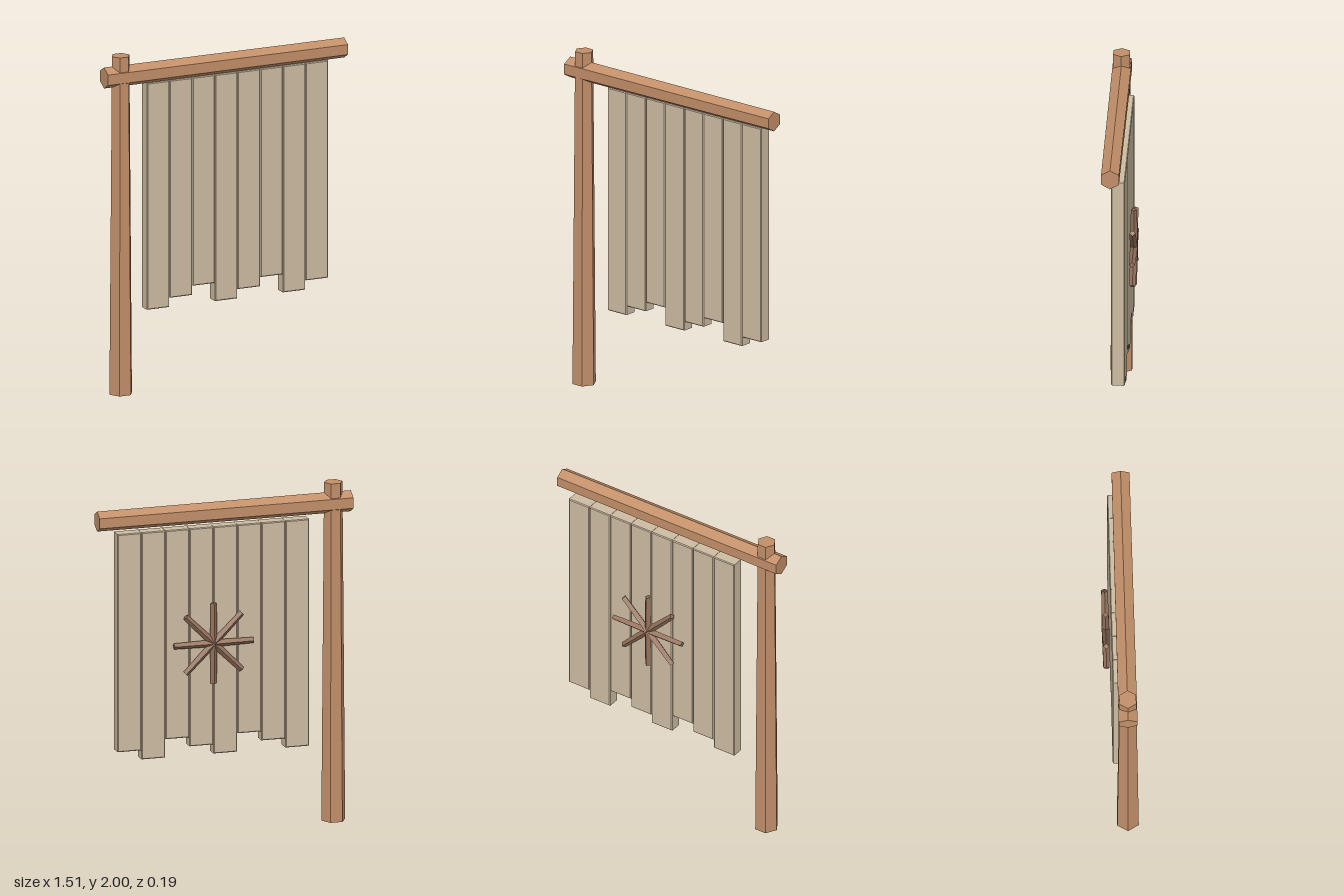
import * as THREE from 'three';

const mat = (name, color) => {
  const m = new THREE.MeshStandardMaterial({ color, flatShading: true });
  m.name = name;
  return m;
};

export function createModel() {
  const group = new THREE.Group();
  const wood = mat('warm wood', 0xc28f69);
  const cloth = mat('pale boards', 0xcdbca2);
  const dark = mat('dark wood', 0x96725c);

  const add = (name, geometry, material) => {
    const mesh = new THREE.Mesh(geometry, material);
    mesh.name = name;
    group.add(mesh);
    return mesh;
  };

  // Tapered six-sided post and the cross beam it carries
  const post = new THREE.CylinderGeometry(0.055, 0.071, 2, 6).rotateY(Math.PI / 2);
  add('post', post, wood).position.set(-0.655, 1, 0.033);
  const beam = new THREE.CylinderGeometry(0.062, 0.059, 1.515, 6)
    .rotateY(Math.PI / 2).rotateZ(Math.PI / 2);
  add('beam', beam, wood).position.set(-0.002, 1.879, 0.032);

  // Hanging boards with small chamfers and uneven lower ends
  const bottoms = [0.472, 0.526, 0.58];
  const lengths = [0, 1, 2, 0, 1, 2, 0, 1];
  const top = 1.814, pitch = 0.143, width = 0.141, bevel = 0.005;
  lengths.forEach((step, i) => {
    const w = width / 2 - bevel;
    const low = bottoms[step] + bevel, high = top - bevel;
    const shape = new THREE.Shape([
      new THREE.Vector2(-w, low), new THREE.Vector2(w, low),
      new THREE.Vector2(w, high), new THREE.Vector2(-w, high),
    ]);
    const board = new THREE.ExtrudeGeometry(shape, {
      depth: 0.078 - 2 * bevel, bevelEnabled: true,
      bevelThickness: bevel, bevelSize: bevel, bevelSegments: 1,
    });
    add('board' + (i + 1), board, cloth).position.set(-0.487 + pitch * (i + 0.5), 0, -0.048 + bevel);
  });

  // Eight-rayed ornament on the back
  const rayLength = 0.237;
  const ray = new THREE.CylinderGeometry(0.0175, 0.022, rayLength, 4).translate(0, rayLength / 2, 0);
  for (let i = 0; i < 8; i++) {
    const mesh = add('starRay' + (i + 1), ray, dark);
    mesh.position.set(0.092, 1.133, -0.073);
    mesh.rotation.z = i * Math.PI / 4;
  }
  return group;
}
